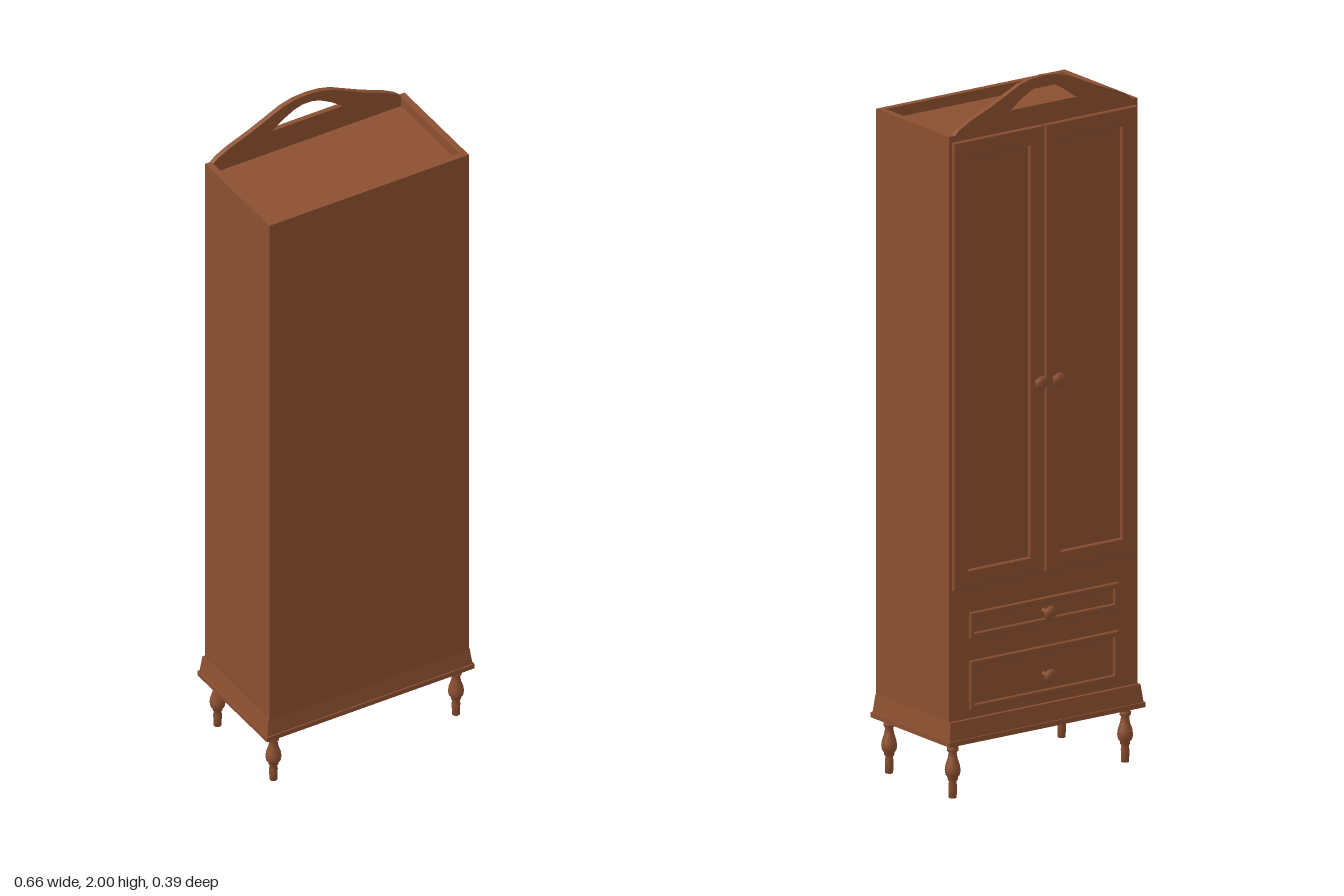
import * as THREE from 'three';

const wood = new THREE.MeshStandardMaterial({ color: 0x8b4f30 });

function rect(path, x0, y0, x1, y1) {
  path.moveTo(x0, y0);
  path.lineTo(x1, y0);
  path.lineTo(x1, y1);
  path.lineTo(x0, y1);
  path.closePath();
  return path;
}

export function createModel() {
  const root = new THREE.Group();
  const FACE = -0.153; // plane that carries the doors and drawers

  function add(name, geometry, x = 0, y = 0, z = 0, parent = root) {
    const mesh = new THREE.Mesh(geometry, wood);
    mesh.name = name;
    mesh.position.set(x, y, z);
    parent.add(mesh);
    return mesh;
  }

  // Carcass with a shallow sunken top inside a raised rim
  add('carcass', new THREE.BoxGeometry(0.634, 1.64, 0.336), 0, 1.03, 0.015);
  const rim = rect(new THREE.Shape(), -0.317, -0.183, 0.317, 0.153);
  rim.holes.push(rect(new THREE.Path(), -0.298, -0.165, 0.298, 0.14));
  add('topRim', new THREE.ExtrudeGeometry(rim, { depth: 0.03, bevelEnabled: false }), 0, 1.85, 0)
    .rotation.x = -Math.PI / 2;

  // Plinth: bottom lip and a slightly tapering skirt
  add('plinthLip', new THREE.BoxGeometry(0.66, 0.014, 0.364), 0, 0.164, 0.01);
  const skirt = new THREE.BoxGeometry(0.652, 0.052, 0.356);
  const p = skirt.attributes.position;
  for (let i = 0; i < p.count; i++) {
    if (p.getY(i) > 0) p.setXYZ(i, p.getX(i) * 0.98, p.getY(i), p.getZ(i) * 0.97);
  }
  skirt.computeVertexNormals();
  add('plinthSkirt', skirt, 0, 0.196, 0.01);

  // Bevelled frame that leaves a recessed panel
  function frame(name, x0, y0, x1, y1, border, depth) {
    const b = 0.003;
    const s = rect(new THREE.Shape(), x0 + b, y0 + b, x1 - b, y1 - b);
    s.holes.push(rect(new THREE.Path(), x0 + border, y0 + border, x1 - border, y1 - border));
    const g = new THREE.ExtrudeGeometry(s, {
      depth: depth - b, bevelThickness: b, bevelSize: b, bevelSegments: 1,
    });
    add(name, g, 0, 0, FACE).rotation.y = Math.PI;
  }

  // Turned knob, axis along -z
  const knobProfile = [[0.0, 0], [0.007, 0], [0.006, 0.024], [0.015, 0.026], [0.02, 0.031],
    [0.018, 0.036], [0.011, 0.04], [0, 0.041]].map(([r, y]) => new THREE.Vector2(r, y));
  const knobGeometry = new THREE.LatheGeometry(knobProfile, 20);
  function knob(name, x, y) {
    add(name, knobGeometry, x, y, FACE).rotation.x = -Math.PI / 2;
  }

  // Pair of doors
  for (const [side, s] of [['left', 1], ['right', -1]]) {
    const a = s * 0.002, b = s * 0.308;
    frame(side + 'Door', Math.min(a, b), 0.595, Math.max(a, b), 1.862, 0.047, 0.01);
    knob(side + 'DoorKnob', s * 0.03, 1.14);
  }

  // Two drawers
  frame('upperDrawer', -0.25, 0.447, 0.25, 0.522, 0.013, 0.007);
  knob('upperDrawerKnob', 0, 0.484);
  frame('lowerDrawer', -0.25, 0.245, 0.25, 0.385, 0.013, 0.007);
  knob('lowerDrawerKnob', 0, 0.305);

  // Pierced crest above the doors
  const half = [[0.3, 1.88], [0.285, 1.893], [0.25, 1.912], [0.18, 1.94], [0.12, 1.968],
    [0.08, 1.987], [0.04, 1.997]];
  const v = (list, s) => list.map(([x, y]) => new THREE.Vector2(x * s, y));
  const crest = new THREE.Shape([...v(half, 1), new THREE.Vector2(0, 2), ...v(half, -1).reverse()]);
  const arch = [[0.112, 1.92], [0.075, 1.947], [0.04, 1.966], [0.015, 1.973]];
  crest.holes.push(new THREE.Path([...v(arch, 1), ...v(arch, -1).reverse()]));
  add('crest', new THREE.ExtrudeGeometry(crest, { depth: 0.015, bevelEnabled: false }), 0, 0, -0.155);

  // Four turned legs
  const legProfile = [[0, 0], [0.011, 0], [0.012, 0.035], [0.01, 0.045], [0.014, 0.052],
    [0.014, 0.058], [0.02, 0.066], [0.022, 0.078], [0.02, 0.092], [0.014, 0.11], [0.011, 0.128],
    [0.016, 0.134], [0.016, 0.142], [0.013, 0.146], [0.018, 0.16]]
    .map(([r, y]) => new THREE.Vector2(r, y));
  const legGeometry = new THREE.LatheGeometry(legProfile, 16);
  for (const x of [-0.29, 0.29]) {
    for (const z of [-0.132, 0.16]) add(z > 0 ? 'frontLeg' : 'backLeg', legGeometry, x, 0, z);
  }

  return root;
}
